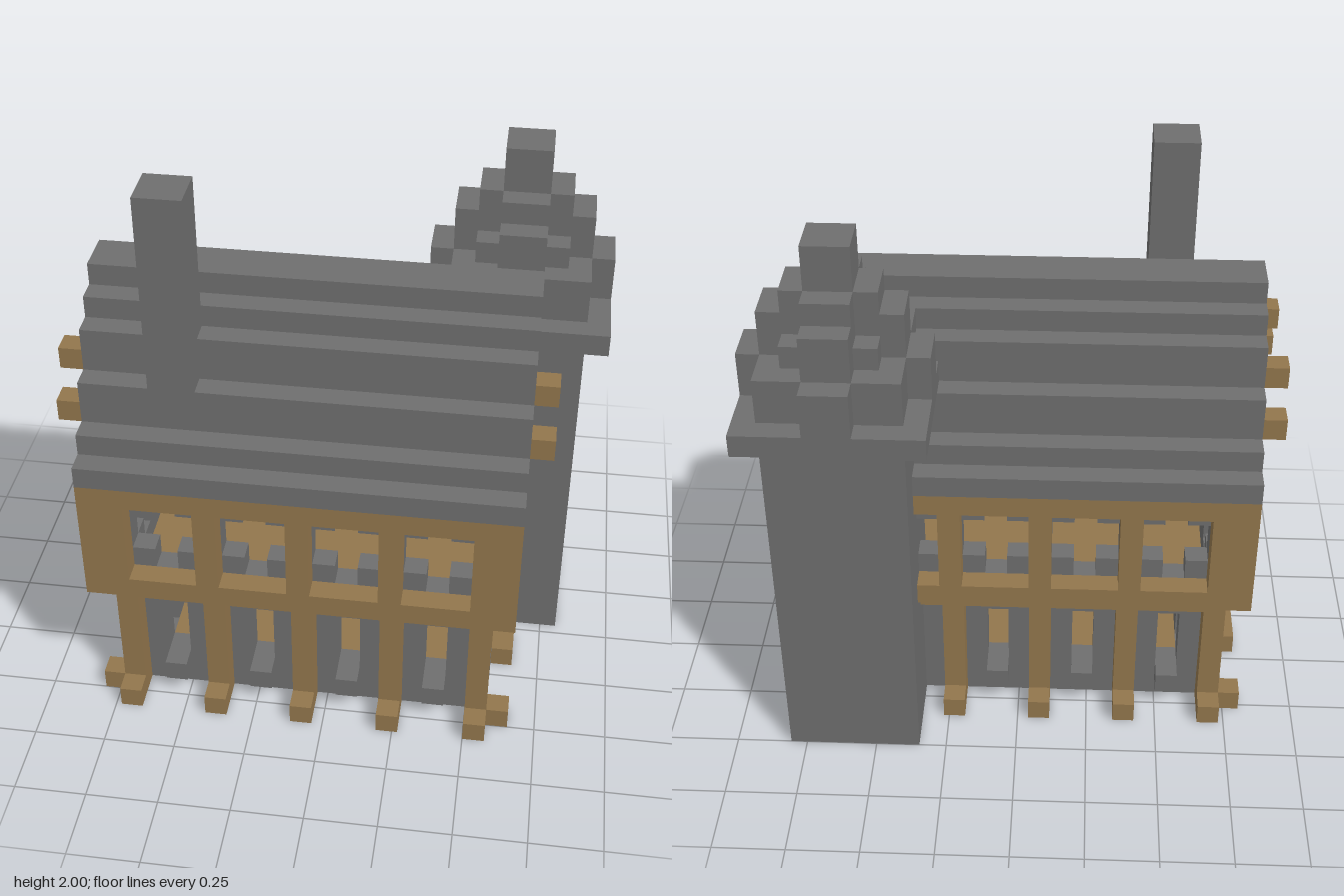
import * as THREE from 'three';

const U = 2 / 26; // one block
const stone = new THREE.MeshStandardMaterial({ color: 0x6e6e6e });
stone.name = 'stoneGrey';
const timber = new THREE.MeshStandardMaterial({ color: 0x92764c });
timber.name = 'timberBrown';

// Box given by its min and max corners, in blocks
function block(parent, name, mat, x0, x1, y0, y1, z0, z1) {
  const mesh = new THREE.Mesh(new THREE.BoxGeometry(x1 - x0, y1 - y0, z1 - z0), mat);
  mesh.position.set((x0 + x1) / 2, (y0 + y1) / 2, (z0 + z1) / 2);
  mesh.name = name;
  parent.add(mesh);
  return mesh;
}

const outline = (Type, pts) => new Type(pts.map(([x, y]) => new THREE.Vector2(x, y)));
const rect = (x0, x1, y0, y1) => [[x0, y0], [x1, y0], [x1, y1], [x0, y1]];

// One-block-thick wall with openings
function panel(parent, name, pts, holes, z) {
  const shape = outline(THREE.Shape, pts);
  shape.holes = holes.map((h) => outline(THREE.Path, h));
  const mesh = new THREE.Mesh(new THREE.ExtrudeGeometry(shape, { depth: 1, bevelEnabled: false }), stone);
  mesh.position.z = z;
  mesh.name = name;
  parent.add(mesh);
}

// Cross-shaped opening, three wide and four high, starting at x
const cross = (x) => [
  [x + 1, 8], [x + 2, 8], [x + 2, 9], [x + 3, 9], [x + 3, 11], [x + 2, 11],
  [x + 2, 12], [x + 1, 12], [x + 1, 11], [x, 11], [x, 9], [x + 1, 9],
];

// One side of the house facing +z: h = half width upstairs, d = outer face, wins = window starts
function facade(name, h, d, wins) {
  const g = new THREE.Group();
  g.name = name;
  // Upper storey
  block(g, 'upperRail', timber, -h, h, 7, 8, d - 1, d);
  block(g, 'upperRail', timber, -h, h, 12, 13, d - 1, d);
  panel(g, 'upperWall', rect(-h + 1, h - 1, 7, 13), wins.map(cross), d - 2);
  // Ground storey
  block(g, 'lowerBeam', timber, -h + 1, h - 1, 6, 7, d - 2, d - 1);
  panel(g, 'lowerWall', rect(-h + 2, h - 2, 0, 6), wins.map((x) => rect(x + 1, x + 2, 2, 5)), d - 3);
  for (const x of wins) block(g, 'sill', stone, x + 1, x + 2, 1, 2, d - 2, d - 1);
  // Posts fill the gaps between the windows
  for (let i = 0; i <= wins.length; i++) {
    const a = i === 0 ? -h + 1 : wins[i - 1] + 3;
    const b = i === wins.length ? h - 1 : wins[i];
    block(g, 'lowerPost', timber, a, b, 0, 6, d - 2, d - 1);
    block(g, 'foot', timber, a, b, 0, 1, d - 1, d);
    block(g, 'upperPost', timber, i === 0 ? -h : a, i === wins.length ? h : b, 8, 12, d - 1, d);
  }
  return g;
}

export function createModel() {
  const root = new THREE.Group();
  root.name = 'timberHouse';
  const house = new THREE.Group();
  house.name = 'house';
  house.position.set(-1, 0, 1.5);
  root.add(house);

  // Four facades
  const longWins = [-7.5, -3.5, 0.5, 4.5], sideWins = [-4, 1];
  for (let i = 0; i < 4; i++) {
    const side = i % 2;
    const f = facade(['frontFacade', 'leftFacade', 'backFacade', 'rightFacade'][i],
      side ? 6 : 9.5, side ? 9.5 : 6, side ? sideWins : longWins);
    f.rotation.y = (i * Math.PI) / 2;
    if (side) block(f, 'gablePost', timber, -1, 1, 13, 19, 8.5, 9.5);
    house.add(f);
  }

  // Floors
  block(house, 'groundFloor', timber, -6.5, 6.5, 1, 2, -3, 3);
  block(house, 'upperFloor', timber, -7.5, 7.5, 6, 7, -4, 4);
  block(house, 'atticFloor', timber, -7.5, 7.5, 12, 13, -4, 4);

  // Stepped roof: inner and outer distance from the ridge, bottom and top
  const steps = [[5, 6, 13, 14], [4, 5, 13, 15], [3, 4, 14, 17], [2, 3, 16, 19], [1, 2, 18, 20], [0, 1, 19, 21]];
  for (const s of [-1, 1]) {
    for (const [a, b, y0, y1] of steps) {
      const z0 = Math.min(s * a, s * b), z1 = z0 + 1;
      block(house, 'roofStep', stone, -9.5, 9.5, y0, y1, z0, z1);
      if (y0 > 13) block(house, 'gableWall', stone, -8.5, 8.5, 13, y0, z0, z1);
    }
    // Purlin ends poking out of the gables
    for (const e of [-1, 1]) {
      for (const [z, y] of [[3.5, 15], [2.5, 17]]) {
        block(house, 'purlinEnd', timber, e * 10 - 0.5, e * 10 + 0.5, y, y + 1, s * z - 0.5, s * z + 0.5);
      }
    }
  }
  block(house, 'chimney', stone, -6.5, -4.5, 15, 26, 2, 4);

  // Tower with a stepped spire; each tier is a square with taller cross arms
  const tower = new THREE.Group();
  tower.name = 'tower';
  tower.position.set(7.5, 0, -3.5);
  root.add(tower);
  block(tower, 'towerShaft', stone, -3, 3, 0, 17, -3, 3);
  for (const [r, y0, y1, arm] of [[4, 17, 18, 20], [3, 18, 20, 22], [2, 20, 21, 23]]) {
    block(tower, 'spireTier', stone, -r, r, y0, y1, -r, r);
    block(tower, 'spireArm', stone, -r, r, y1, arm, -1, 1);
    block(tower, 'spireArm', stone, -1, 1, y1, arm, -r, r);
  }
  block(tower, 'spireTop', stone, -1, 1, 23, 25, -1, 1);

  root.scale.setScalar(U);
  const model = new THREE.Group();
  model.name = 'model';
  model.add(root);
  return model;
}
